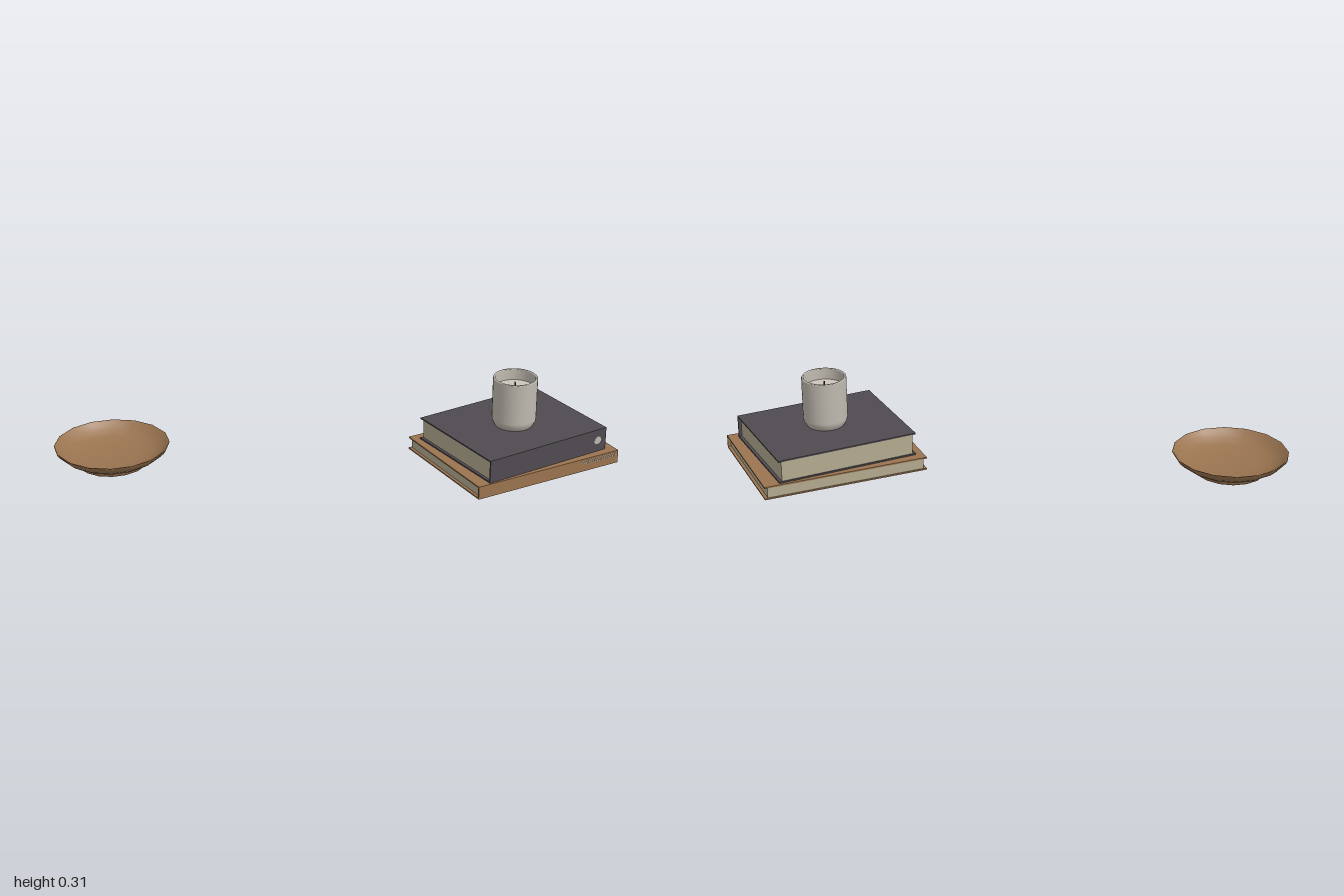
import * as THREE from 'three';

const mat = (name, color, side = THREE.FrontSide) => {
  const m = new THREE.MeshStandardMaterial({ color, side });
  m.name = name;
  return m;
};

export function createModel() {
  const brown = mat('warm brown', 0x9a7450);
  const charcoal = mat('charcoal cover', 0x4f4a50);
  const paper = mat('aged paper', 0xb5ab90);
  const ceramic = mat('pale ceramic', 0xbfb9af, THREE.DoubleSide);
  const wax = mat('candle wax', 0xcbc5ba);
  const black = mat('wick black', 0x1c1a19);
  const silver = mat('spine print', 0xbdbab2);

  const model = new THREE.Group();
  model.name = 'shelfDecor';

  const add = (parent, name, geometry, material, x = 0, y = 0, z = 0) => {
    const mesh = new THREE.Mesh(geometry, material);
    mesh.name = name;
    mesh.position.set(x, y, z);
    parent.add(mesh);
    return mesh;
  };
  const box = (parent, name, w, h, d, material, x, y, z) =>
    add(parent, name, new THREE.BoxGeometry(w, h, d), material, x, y, z);

  // Hardback: two boards, a spine along +z and an inset page block
  const makeBook = (name, w, h, d, cover, x, y, z, angle) => {
    const book = new THREE.Group();
    book.name = name;
    book.position.set(x, y, z);
    book.rotation.y = angle;
    const t = 0.005, insetX = 0.011, insetZ = 0.004;
    box(book, 'lowerCover', w, t, d, cover, 0, t / 2, 0);
    box(book, 'upperCover', w, t, d, cover, 0, h - t / 2, 0);
    box(book, 'spine', w, h - 2 * t, t, cover, 0, h / 2, d / 2 - t / 2);
    box(book, 'pages', w - 2 * insetX, h - 2 * t, d - t - insetZ, paper,
      0, h / 2, (insetZ - t) / 2);
    model.add(book);
    return book;
  };

  const lower = makeBook('lowerBook', 0.592, 0.048, 0.46, brown, 0.635, 0, 0, 0.419);
  const upper = makeBook('upperBook', 0.51, 0.084, 0.42, charcoal, 0.632, 0.048, 0.003, 0.471);

  // Fine printed lines on the lower spine
  [[0.041, 0.15], [0.034, 0.15], [0.028, 0.135]].forEach(([y, length]) =>
    box(lower, 'spineLine', length, 0.0015, 0.001, silver, 0.288 - length / 2, y, 0.2304));

  // Round badge with short rays on the upper spine
  const badge = new THREE.Group();
  badge.name = 'spineBadge';
  badge.position.set(0.218, 0.043, 0.2103);
  const disc = add(badge, 'badgeDisc', new THREE.CylinderGeometry(0.0155, 0.0155, 0.001, 8), silver);
  disc.rotation.set(Math.PI / 2, Math.PI / 8, 0);
  for (let i = 0; i < 2; i++) {
    const ray = box(badge, 'badgeRays', 0.002, 0.038, 0.001, silver, 0, 0, 0);
    ray.rotation.z = i * Math.PI / 2;
  }
  upper.add(badge);

  // Candle in a cup with a tapered base
  const candle = new THREE.Group();
  candle.name = 'candle';
  candle.position.set(0.632, 0.132, 0.012);
  model.add(candle);
  const lathe = (points, sides) =>
    new THREE.LatheGeometry(points.map(([r, y]) => new THREE.Vector2(r, y)), sides);
  add(candle, 'cup', lathe([
    [0, 0.0005], [0.067, 0.0005], [0.067, 0.0005], [0.072, 0.008], [0.0775, 0.02], [0.079, 0.03],
    [0.079, 0.178], [0.0775, 0.181], [0.0725, 0.181], [0.071, 0.178], [0.071, 0.135],
  ], 32), ceramic);
  add(candle, 'wax', new THREE.CylinderGeometry(0.071, 0.071, 0.01, 32), wax, 0, 0.135, 0);
  const wick = add(candle, 'wick', new THREE.CylinderGeometry(0.0025, 0.003, 0.024, 6), black, 0, 0.151, 0);
  wick.rotation.z = 0.12;

  // Shallow footed bowl
  const bowl = new THREE.Group();
  bowl.name = 'bowl';
  bowl.position.set(-0.795, 0, -0.085);
  model.add(bowl);
  add(bowl, 'bowlBody', lathe([
    [0, 0.012], [0.123, 0.012], [0.152, 0.023], [0.18, 0.041], [0.198, 0.058], [0.205, 0.069],
    [0.203, 0.071], [0.199, 0.069], [0.19, 0.059], [0.172, 0.045], [0.145, 0.031],
    [0.1, 0.022], [0.05, 0.018], [0, 0.017],
  ], 16), brown);
  add(bowl, 'footRing', lathe([
    [0.114, 0.013], [0.116, 0], [0.124, 0], [0.126, 0.014],
  ], 16), brown);
  add(bowl, 'footBase', new THREE.CylinderGeometry(0.116, 0.116, 0.009, 16), brown, 0, 0.0075, 0);

  return model;
}
